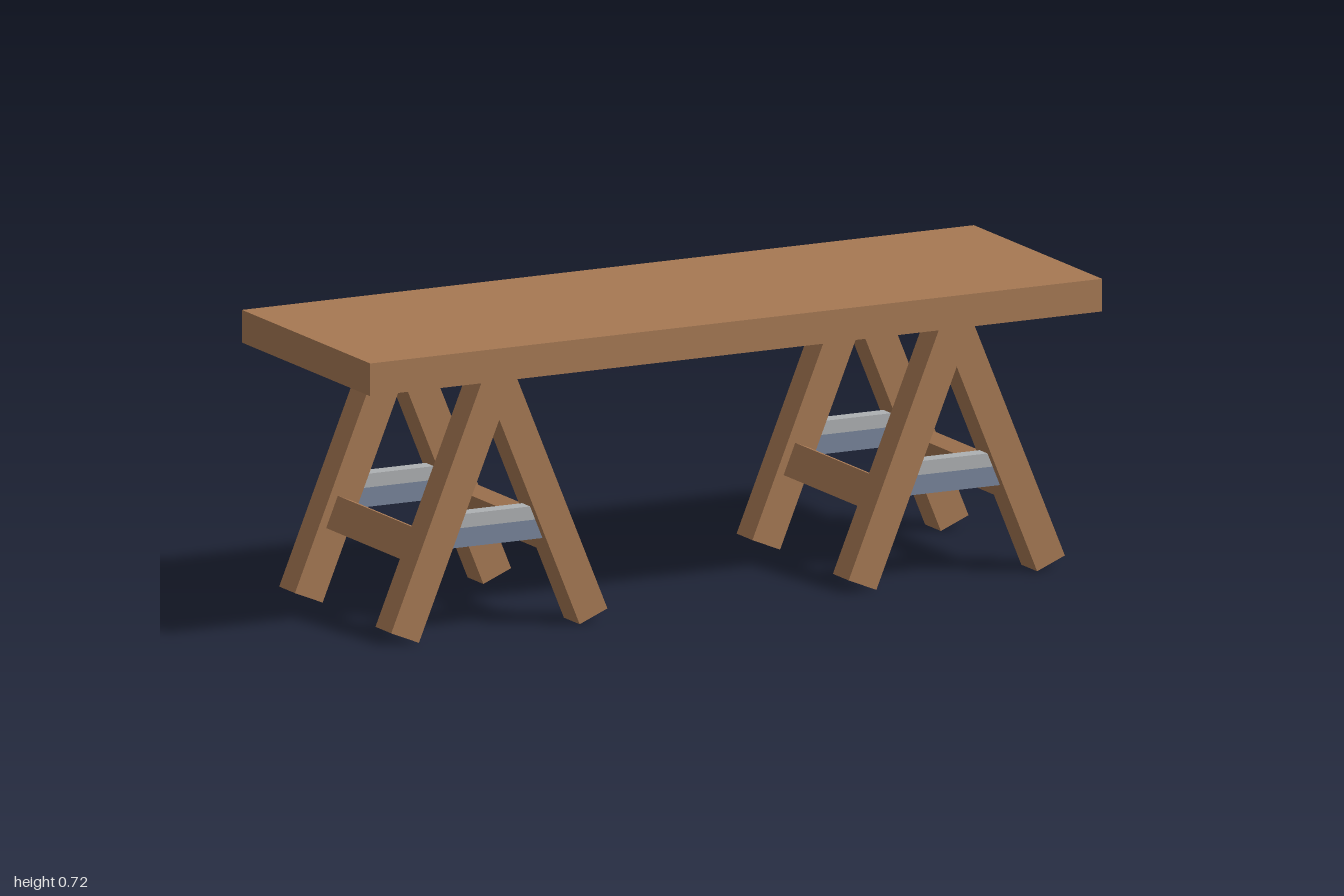
import * as THREE from 'three';

const wood = new THREE.MeshStandardMaterial({ name: 'wood', color: 0xa67853 });
const lightSteel = new THREE.MeshStandardMaterial({ name: 'lightSteel', color: 0xadb0b2 });
const blueSteel = new THREE.MeshStandardMaterial({ name: 'blueSteel', color: 0x77849a });

const TILT = Math.PI / 8; // lean of the legs
const BEAM = 0.082; // square section of the legs
const FOOT = new THREE.Vector2(0.2575, 0.0165); // centre of the foot's end face

function box(name, material, size, position) {
  const mesh = new THREE.Mesh(new THREE.BoxGeometry(...size), material);
  mesh.name = name;
  mesh.position.set(...position);
  return mesh;
}

// One leaning side: two legs and two rails, modelled upright and then tilted
function createSide(sign) {
  const side = new THREE.Group();
  side.name = sign > 0 ? 'leftFrame' : 'rightFrame';
  const legLength = 0.71;
  for (const z of [-0.25, 0.25]) {
    side.add(box('leg', wood, [BEAM, legLength, BEAM], [0, legLength / 2, z]));
  }
  side.add(box('lowerRail', wood, [0.041, 0.083, 0.418], [0, 0.215, 0]));
  side.add(box('upperRail', wood, [0.041, 0.083, 0.418], [0, 0.676, 0]));
  side.position.set(sign * FOOT.x, FOOT.y, 0);
  side.rotation.z = sign * TILT;
  return side;
}

function createTrestle(x) {
  const trestle = new THREE.Group();
  trestle.name = 'trestle';
  trestle.add(createSide(1), createSide(-1));
  // Metal spreader bars, two-toned, with their ends inside the legs
  for (const z of [-0.25, 0.25]) {
    trestle.add(box('spreaderUpper', lightSteel, [0.32, 0.034, 0.041], [0, 0.285, z]));
    trestle.add(box('spreaderLower', blueSteel, [0.32, 0.048, 0.041], [0, 0.244, z]));
  }
  trestle.position.x = x;
  return trestle;
}

export function createModel() {
  const table = new THREE.Group();
  table.name = 'trestleTable';
  table.add(box('tableTop', wood, [2, 0.081, 0.666], [0, 0.6775, 0]));
  for (const x of [-0.625, 0.625]) table.add(createTrestle(x));
  return table;
}
